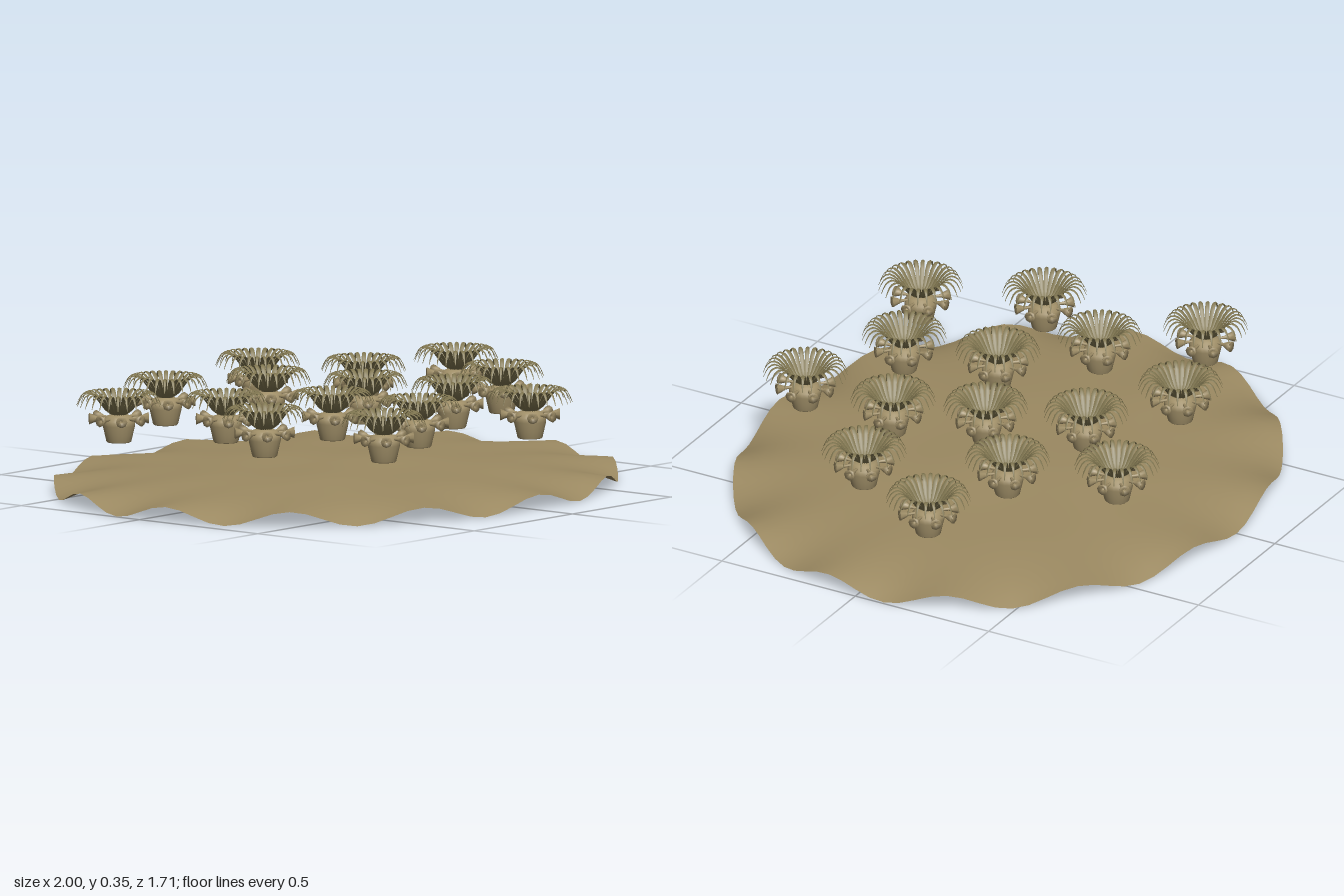
import * as THREE from 'three';
import { mergeGeometries, mergeVertices } from 'three/addons/utils/BufferGeometryUtils.js';

const material = (color) => new THREE.MeshStandardMaterial({ color, side: THREE.DoubleSide });
const TURN = Math.PI * 2;

// Shallow oval mound, a thin sheet whose rim is scalloped up and down
function moundGeometry() {
  let g = new THREE.RingGeometry(0, 1, 104, 20).rotateX(-Math.PI / 2);
  const p = g.attributes.position;
  for (let i = 0; i < p.count; i++) {
    const x = p.getX(i), z = p.getZ(i);
    const r = Math.hypot(x, z), a = Math.atan2(x, z);
    const ripple = 0.004 * Math.sin(7 * x + 4 * z) * Math.cos(9 * z - 3 * x) * (1 - r * r);
    const scallop = 0.025 * (Math.cos(13 * a) - 1) * r ** 8;
    p.setXYZ(i, x, 0.088 - 0.037 * r ** 1.5 + scallop + ripple, z * 0.857);
  }
  g.deleteAttribute('uv');
  g.deleteAttribute('normal');
  g = mergeVertices(g);
  g.computeVertexNormals();
  return g;
}

// Copies of a geometry arranged around the y axis
const around = (geometry, count) => mergeGeometries(
  Array.from({ length: count }, (_, i) => geometry.clone().rotateY((i / count) * TURN)));

// One arching blade with a raised midrib, tapering to its tip
function frondGeometry() {
  const path = new THREE.CatmullRomCurve3([
    [0.012, 0.272], [0.045, 0.295], [0.075, 0.335], [0.1, 0.352], [0.122, 0.342], [0.138, 0.308],
  ].map(([x, y]) => new THREE.Vector3(x, y, 0)));
  const g = new THREE.PlaneGeometry(1, 1, 2, 10);
  const p = g.attributes.position;
  for (let i = 0; i < p.count; i++) {
    const t = 0.5 - p.getY(i), side = p.getX(i) * 2;
    const c = path.getPoint(t);
    const half = 0.0065 * Math.sin(Math.PI * (0.15 + 0.83 * t)) + 0.0005;
    p.setXYZ(i, c.x, c.y + 0.003 * (1 - Math.abs(side)), side * half);
  }
  g.computeVertexNormals();
  return g;
}

// Rounded stem, a little wider towards its top
const stemGeometry = () => new THREE.LatheGeometry([
  [0, 0.19], [0.038, 0.19], [0.041, 0.193], [0.046, 0.215], [0.053, 0.245],
  [0.053, 0.262], [0.04, 0.276], [0.018, 0.283], [0, 0.284],
].map(([x, y]) => new THREE.Vector2(x, y)), 20);

// Trumpet shaped bud pointing outwards
const budGeometry = () => new THREE.LatheGeometry([
  [0.004, 0.045], [0.006, 0.068], [0.012, 0.08], [0.019, 0.097], [0.004, 0.09],
].map(([x, y]) => new THREE.Vector2(x, y)), 8).rotateZ(-Math.PI / 2).translate(0, 0.268, 0);

const PLANTS = [
  [-0.69, -0.345], [-0.29, -0.48], [0.3, -0.58], [0.03, -0.31], [0.44, -0.25],
  [0.81, -0.165], [-0.47, -0.075], [0.155, -0.005], [-0.205, 0.155], [-0.64, 0.23],
  [0.255, 0.285], [0.62, 0.185], [-0.15, 0.475], [-0.485, 0.605], [0.235, 0.625],
];

export function createModel() {
  const model = new THREE.Group();
  const add = (parent, name, geometry, mat) => {
    const mesh = new THREE.Mesh(geometry, mat);
    mesh.name = name;
    parent.add(mesh);
  };
  const earth = material(0x9c8a62), bark = material(0xa08f68), leaf = material(0x807650);
  add(model, 'mound', moundGeometry(), earth);

  // The same plant repeated, hovering above the mound
  const stem = stemGeometry();
  const buds = around(budGeometry(), 8);
  const fronds = around(frondGeometry(), 28);
  for (const [x, z] of PLANTS) {
    const plant = new THREE.Group();
    plant.name = 'plant';
    plant.position.set(x, 0, z);
    add(plant, 'stem', stem, bark);
    add(plant, 'buds', buds, bark);
    add(plant, 'fronds', fronds, leaf);
    model.add(plant);
  }
  return model;
}
